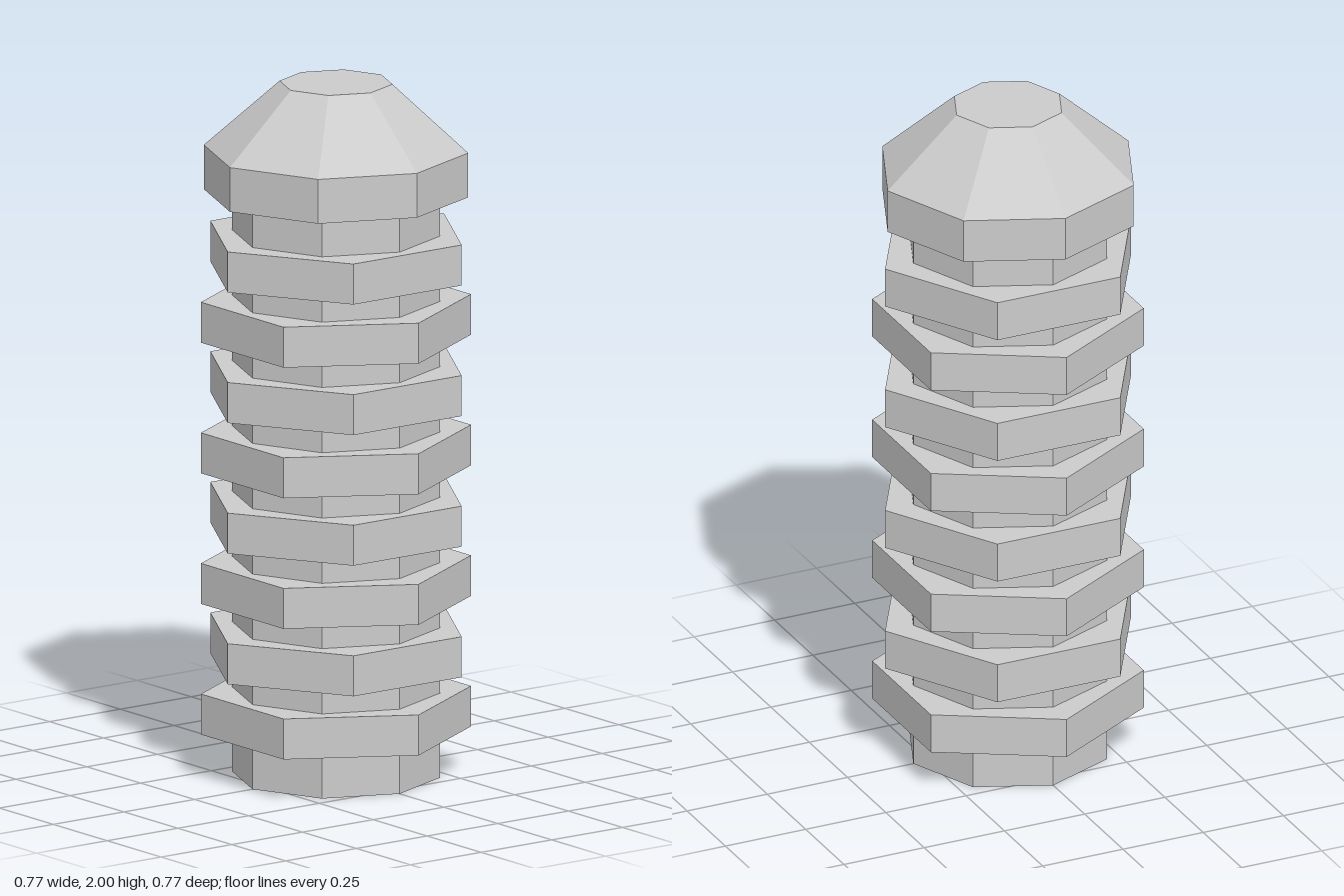
import * as THREE from 'three';

export function createModel() {
  const model = new THREE.Group();
  const material = new THREE.MeshStandardMaterial({ color: 0xcccccc, flatShading: true });

  function add(name, geometry, y = 0, turn = 0) {
    const mesh = new THREE.Mesh(geometry, material);
    mesh.name = name;
    mesh.position.y = y;
    mesh.rotation.y = turn;
    model.add(mesh);
  }

  // Octagonal core, running up into the cap
  const shaftHeight = 1.7;
  add('shaft', new THREE.CylinderGeometry(0.295, 0.295, shaftHeight, 8), shaftHeight / 2);

  // Stacked hexagonal rings, every other one turned by half a side
  const ringGeometry = new THREE.CylinderGeometry(0.383, 0.383, 0.117, 6);
  for (let i = 0; i < 8; i++) {
    add(`ring${i + 1}`, ringGeometry, 0.186 + i * 0.1887, i % 2 === 0 ? Math.PI / 6 : 0);
  }

  // Octagonal cap with a straight rim, sloped sides and a flat top
  const capProfile = [[0, 1.68], [0.375, 1.68], [0.375, 1.808], [0.16, 2], [0, 2]]
    .map(([r, y]) => new THREE.Vector2(r, y));
  add('cap', new THREE.LatheGeometry(capProfile, 8));

  return model;
}
